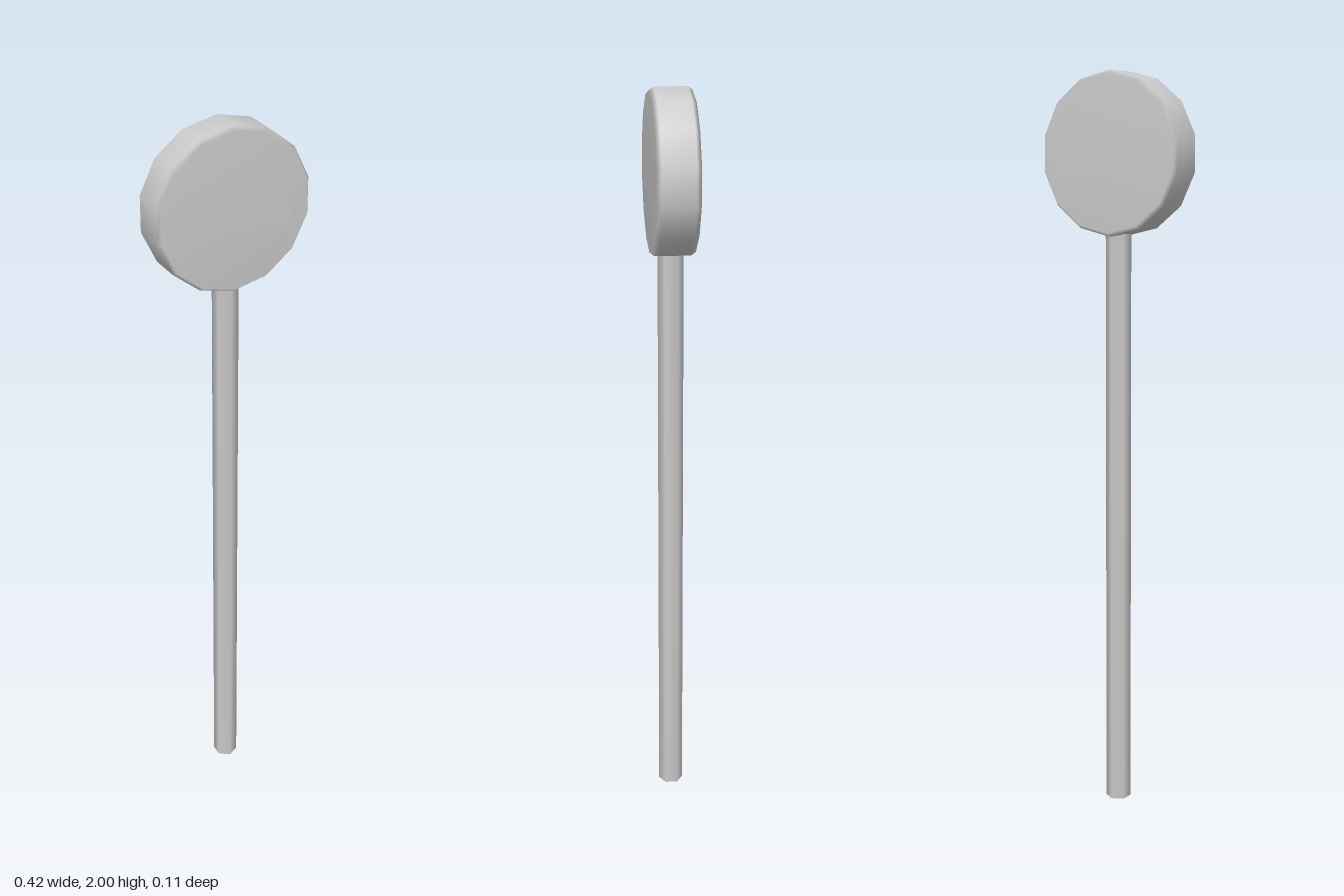
import * as THREE from 'three';

const HEAD_Y = 1.786, HALF_DEPTH = 0.055;

export function createModel() {
  const group = new THREE.Group();
  const material = new THREE.MeshStandardMaterial({ color: 0xcccccc });
  const add = (name, geometry, y, z = 0) => {
    const mesh = new THREE.Mesh(geometry, material);
    mesh.name = name;
    mesh.position.set(0, y, z);
    group.add(mesh);
    return mesh;
  };

  // Six-sided post, running up into the rim of the disc
  add('post', new THREE.CylinderGeometry(0.034, 0.034, 1.59, 6), 0.795);

  // Fourteen-sided disc with a small softened bevel on both rims
  const profile = [
    [0, -HALF_DEPTH], [0.205, -HALF_DEPTH], [0.214, -0.043],
    [0.214, 0.043], [0.205, HALF_DEPTH], [0, HALF_DEPTH],
  ].map(([r, y]) => new THREE.Vector2(r, y));
  const disc = new THREE.LatheGeometry(profile, 14);
  disc.rotateX(Math.PI / 2);
  add('signDisc', disc, HEAD_Y);

  // Flat horizontal bar on each face
  for (const [name, side] of [['frontBar', 1], ['backBar', -1]]) {
    const bar = add(name, new THREE.PlaneGeometry(0.312, 0.118), HEAD_Y + 0.002, side * (HALF_DEPTH + 0.001));
    if (side < 0) bar.rotation.y = Math.PI;
  }
  return group;
}
